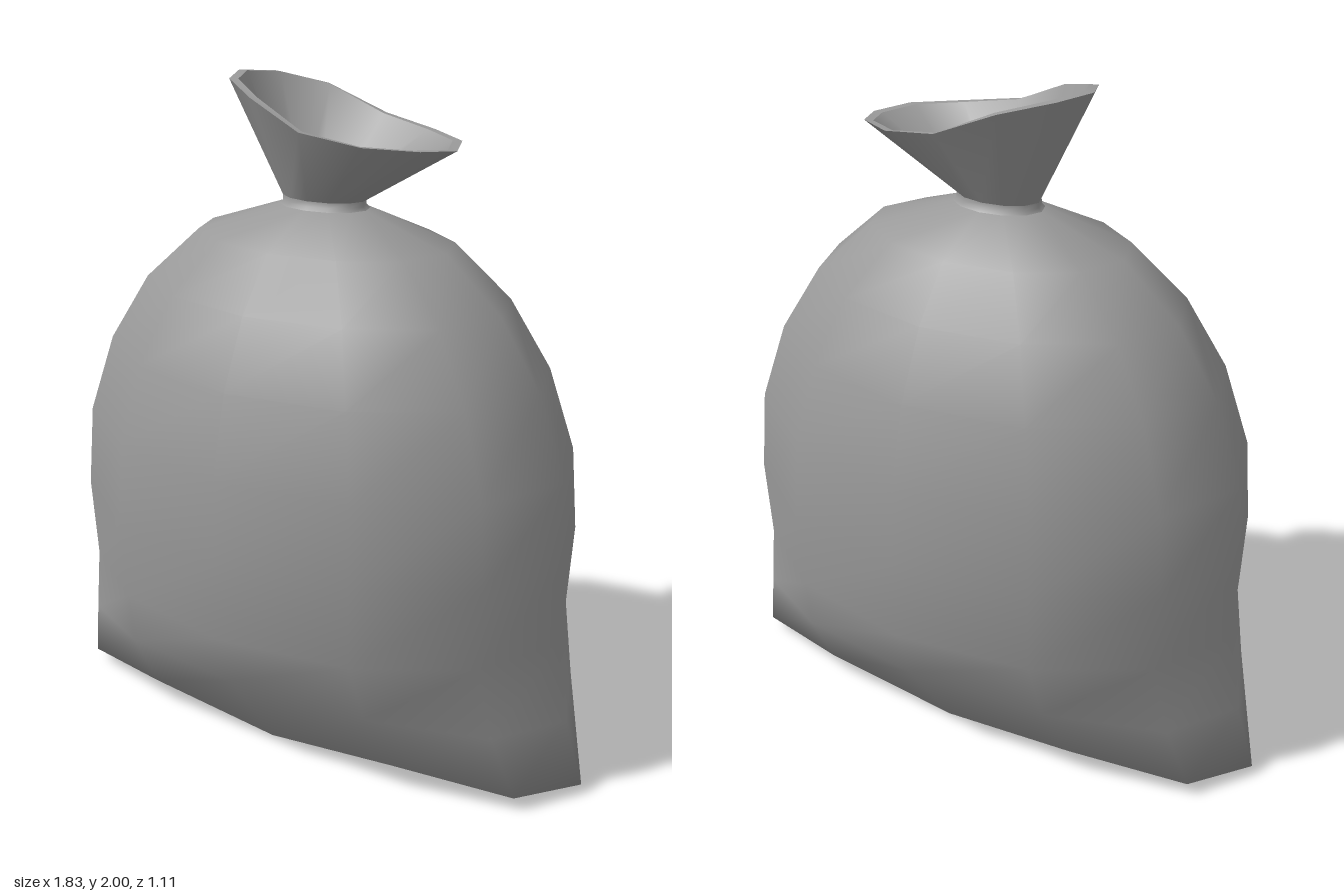
import * as THREE from 'three';

const SIDES = 12;

// Elliptical cross-section
function ellipse(y, rx, rz) {
  return Array.from({ length: SIDES }, (_, i) => {
    const a = (i / SIDES) * Math.PI * 2;
    return [rx * Math.cos(a), y, rz * Math.sin(a)];
  });
}

// Cross-section mirrored from four points of one quarter (side to front)
function quarterRing(q) {
  return Array.from({ length: SIDES }, (_, i) => {
    const k = i % 6 <= 3 ? i % 6 : 6 - (i % 6);
    const [x, y, z] = q[k];
    const sx = i > 3 && i < 9 ? -1 : 1;
    return [sx * x, y, i > 6 ? -z : z];
  });
}

// Skin between cross-sections, optionally closed with a fan at either end
function loft(rings, startCentre, endCentre) {
  const points = rings.flat();
  const index = [];
  for (let r = 0; r < rings.length - 1; r++) {
    for (let i = 0; i < SIDES; i++) {
      const a = r * SIDES + i, b = r * SIDES + ((i + 1) % SIDES);
      index.push(a, a + SIDES, b, b, a + SIDES, b + SIDES);
    }
  }
  const fan = (centre, base, flip) => {
    const c = points.push(centre) - 1;
    for (let i = 0; i < SIDES; i++) {
      const a = base + i, b = base + ((i + 1) % SIDES);
      index.push(c, flip ? b : a, flip ? a : b);
    }
  };
  if (startCentre) fan(startCentre, 0, false);
  if (endCentre) fan(endCentre, (rings.length - 1) * SIDES, true);
  const geo = new THREE.BufferGeometry();
  geo.setAttribute('position', new THREE.Float32BufferAttribute(points.flat(), 3));
  geo.setIndex(index);
  geo.computeVertexNormals();
  return geo;
}

// Slanted oval opening, inset for the inner lip
function mouthRing(inset) {
  const heights = [1.835, 1.843, 1.852, 1.88, 1.955, 1.99, 2.0];
  return Array.from({ length: SIDES }, (_, i) => {
    const a = (i / SIDES) * Math.PI * 2;
    return [
      0.0675 + (0.373 - inset) * Math.cos(a),
      heights[i <= 6 ? i : 12 - i],
      (0.222 - inset * 0.6) * Math.sin(a),
    ];
  });
}

export function createModel() {
  const model = new THREE.Group();
  model.name = 'tiedSack';
  const cloth = new THREE.MeshStandardMaterial({ color: 0x999999 });
  cloth.name = 'greyCloth';
  const add = (name, geo) => {
    const mesh = new THREE.Mesh(geo, cloth);
    mesh.name = name;
    model.add(mesh);
  };

  // Filled body with pinched bottom corners
  add('sackBody', loft([
    ellipse(0, 0.22, 0.14),
    quarterRing([[0.46, 0.045, 0], [0.4, 0.04, 0.11], [0.22, 0.012, 0.18], [0, 0.006, 0.2]]),
    quarterRing([[0.915, 0.03, 0], [0.8, 0.045, 0.2], [0.45, 0.08, 0.3], [0, 0.02, 0.28]]),
    quarterRing([[0.855, 0.22, 0], [0.745, 0.24, 0.245], [0.43, 0.28, 0.42], [0, 0.3, 0.485]]),
    ellipse(0.455, 0.815, 0.535),
    ellipse(0.7, 0.83, 0.555),
    ellipse(0.95, 0.81, 0.54),
    ellipse(1.19, 0.725, 0.485),
    ellipse(1.39, 0.595, 0.395),
    ellipse(1.545, 0.415, 0.28),
    ellipse(1.635, 0.145, 0.1),
  ], [0, 0, 0]));

  // Gathered neck
  const neckTop = ellipse(1.66, 0.135, 0.088);
  add('neck', loft([ellipse(1.635, 0.145, 0.1), ellipse(1.645, 0.135, 0.09), neckTop]));

  // Flared mouth: outside, lip and inside
  add('mouthOutside', loft([neckTop, mouthRing(0)]));
  add('mouthLip', loft([mouthRing(0), mouthRing(0.03)]));
  add('mouthInside', loft([mouthRing(0.03), ellipse(1.67, 0.11, 0.07)], null, [0, 1.66, 0]));

  return model;
}
